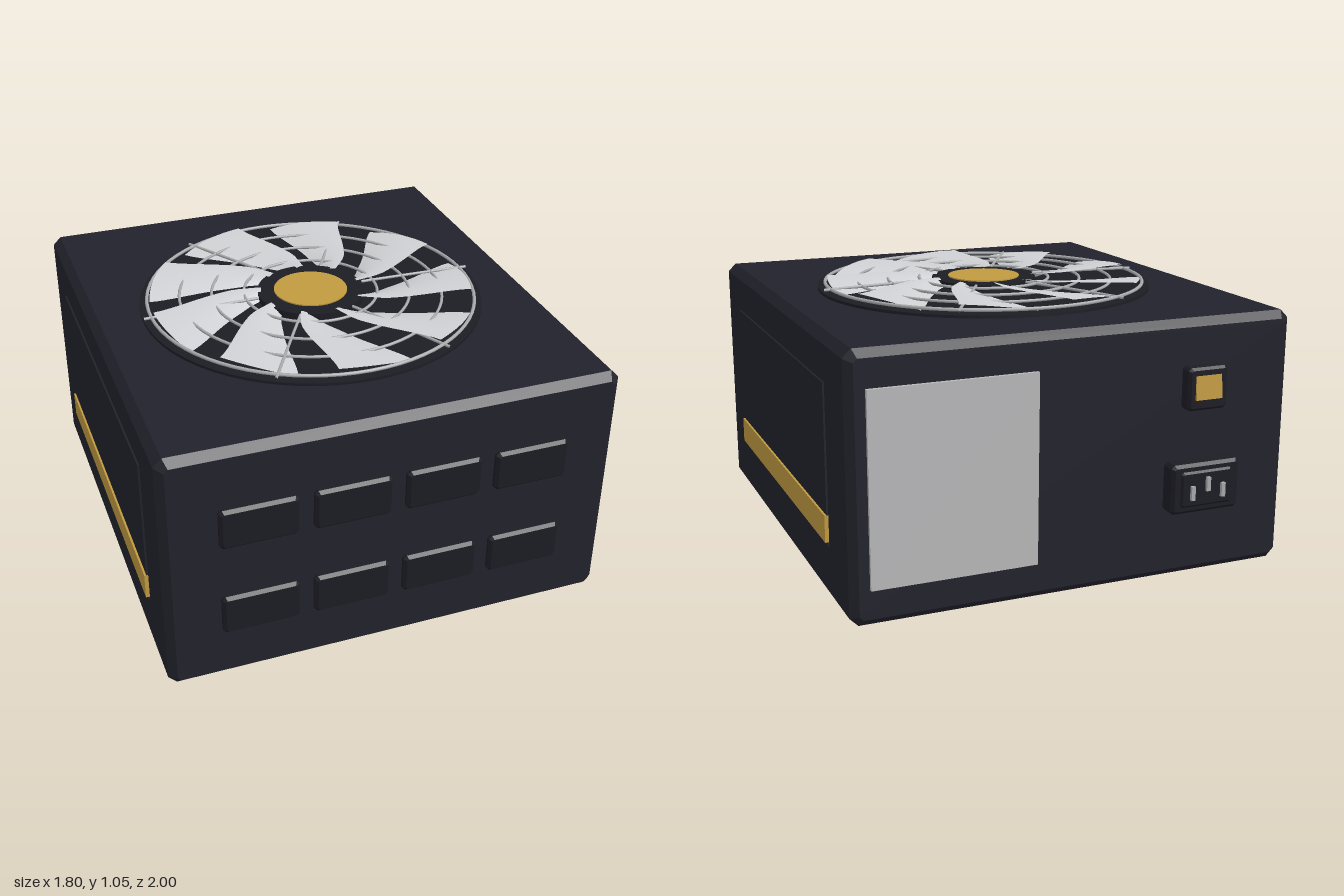
import * as THREE from 'three';

const mat = (name, color, extra = {}) => {
  const m = new THREE.MeshStandardMaterial({ color, ...extra });
  m.name = name;
  return m;
};

// Box with every edge chamfered by c, centred on the origin
function chamferBox(w, h, d, c) {
  const x = w / 2 - c, y = h / 2 - c, k = c * 0.5;
  const s = new THREE.Shape([
    [-x + k, -y], [x - k, -y], [x, -y + k], [x, y - k],
    [x - k, y], [-x + k, y], [-x, y - k], [-x, -y + k],
  ].map(([a, b]) => new THREE.Vector2(a, b)));
  const g = new THREE.ExtrudeGeometry(s, {
    depth: d - 2 * c, bevelEnabled: true, bevelThickness: c, bevelSize: c, bevelSegments: 1,
  });
  return g.translate(0, 0, -d / 2 + c);
}

// Swept fan blade: a plane bent along a curved radial path
function bladeGeometry() {
  const g = new THREE.PlaneGeometry(1, 1, 8, 14);
  const p = g.attributes.position;
  for (let i = 0; i < p.count; i++) {
    const u = 0.5 - p.getX(i), v = p.getY(i) + 0.5;
    const r = 0.2 + 0.45 * v;
    const centre = 33 - 25 * Math.pow(1 - v, 1.6);
    const width = 17 + 10 * Math.min(1, v * 4);
    const a = THREE.MathUtils.degToRad(centre + (u - 0.5) * width);
    p.setXYZ(i, r * Math.cos(a), 1.054 - 0.03 * u * u, -r * Math.sin(a));
  }
  g.computeVertexNormals();
  return g;
}

export function createModel() {
  const model = new THREE.Group();
  model.name = 'powerSupply';

  const body = mat('caseNavy', 0x22222c);
  const dark = mat('trimBlack', 0x1c1c24);
  const gold = mat('gold', 0xc09a40);
  const blade = mat('bladeSilver', 0xd0d1d4, { side: THREE.DoubleSide });
  const wire = mat('wireGrey', 0xa8aaac);
  const label = mat('labelGrey', 0xb8b8ba);

  const add = (name, geo, m, x = 0, y = 0, z = 0, parent = model) => {
    const mesh = new THREE.Mesh(geo, m);
    mesh.name = name;
    mesh.position.set(x, y, z);
    parent.add(mesh);
    return mesh;
  };
  const box = (w, h, d) => new THREE.BoxGeometry(w, h, d);

  // Case
  add('case', chamferBox(1.77, 1.01, 1.885, 0.03), body, 0, 0.505, 0.0325);

  // Side panels with gold stripes
  for (const s of [-1, 1]) {
    add('sidePanel', box(0.02, 0.62, 1.36), body, s * 0.882, 0.53, 0.035);
    add('sideStripe', box(0.02, 0.105, 1.36), gold, s * 0.89, 0.288, 0.035);
  }

  // Front cable sockets, two rows of four
  for (const y of [0.307, 0.692]) {
    for (let i = 0; i < 4; i++) {
      add('cableSocket', chamferBox(0.295, 0.165, 0.05, 0.012), dark, -0.53 + i * 0.353, y, 0.975);
    }
  }

  // Back label plate
  add('labelPlate', box(0.64, 0.73, 0.02), label, 0.495, 0.508, -0.914);

  // Power switch with a tilted rocker
  add('switchHousing', chamferBox(0.165, 0.165, 0.08, 0.01), dark, -0.497, 0.753, -0.923);
  add('switchRocker', box(0.11, 0.105, 0.02), gold, -0.497, 0.765, -0.957).rotation.x = 0.1;

  // Mains inlet with three pins
  add('inletFlange', chamferBox(0.29, 0.195, 0.08, 0.012), dark, -0.495, 0.372, -0.938);
  add('inletFace', chamferBox(0.22, 0.14, 0.04, 0.008), dark, -0.495, 0.372, -0.967);
  for (const [x, y] of [[-0.56, 0.36], [-0.495, 0.39], [-0.43, 0.36]]) {
    add('inletPin', box(0.016, 0.055, 0.03), wire, x, y, -0.985);
  }

  // Fan, hub and grille on the top
  const fan = new THREE.Group();
  fan.name = 'fan';
  fan.position.z = 0.03;
  model.add(fan);
  add('fanBase', new THREE.CylinderGeometry(0.69, 0.69, 0.02, 64), dark, 0, 1.011, 0, fan);
  add('fanHub', new THREE.CylinderGeometry(0.215, 0.215, 0.034, 48), dark, 0, 1.031, 0, fan);
  add('hubCap', new THREE.CylinderGeometry(0.148, 0.148, 0.03, 48), gold, 0, 1.038, 0, fan);
  const bladeGeo = bladeGeometry();
  for (let i = 0; i < 9; i++) {
    add('fanBlade', bladeGeo, blade, 0, 0, 0, fan).rotation.y = (i * Math.PI * 2) / 9;
  }

  // Gently domed wire grille
  const domeY = (r) => 1.046 - 0.01 * (r / 0.66) ** 2;
  for (const r of [0.27, 0.4, 0.53, 0.66]) {
    const ring = new THREE.TorusGeometry(r, r > 0.6 ? 0.007 : 0.006, 8, 72).rotateX(Math.PI / 2);
    add('grilleRing', ring, wire, 0, domeY(r), 0, fan);
  }
  const path = new THREE.CatmullRomCurve3(
    [0.22, 0.4, 0.55, 0.69].map((r) => new THREE.Vector3(r, domeY(r), 0)));
  const spokeGeo = new THREE.TubeGeometry(path, 12, 0.006, 8);
  for (let i = 0; i < 6; i++) {
    add('grilleSpoke', spokeGeo, wire, 0, 0, 0, fan).rotation.y = (i * Math.PI) / 3;
  }
  return model;
}
